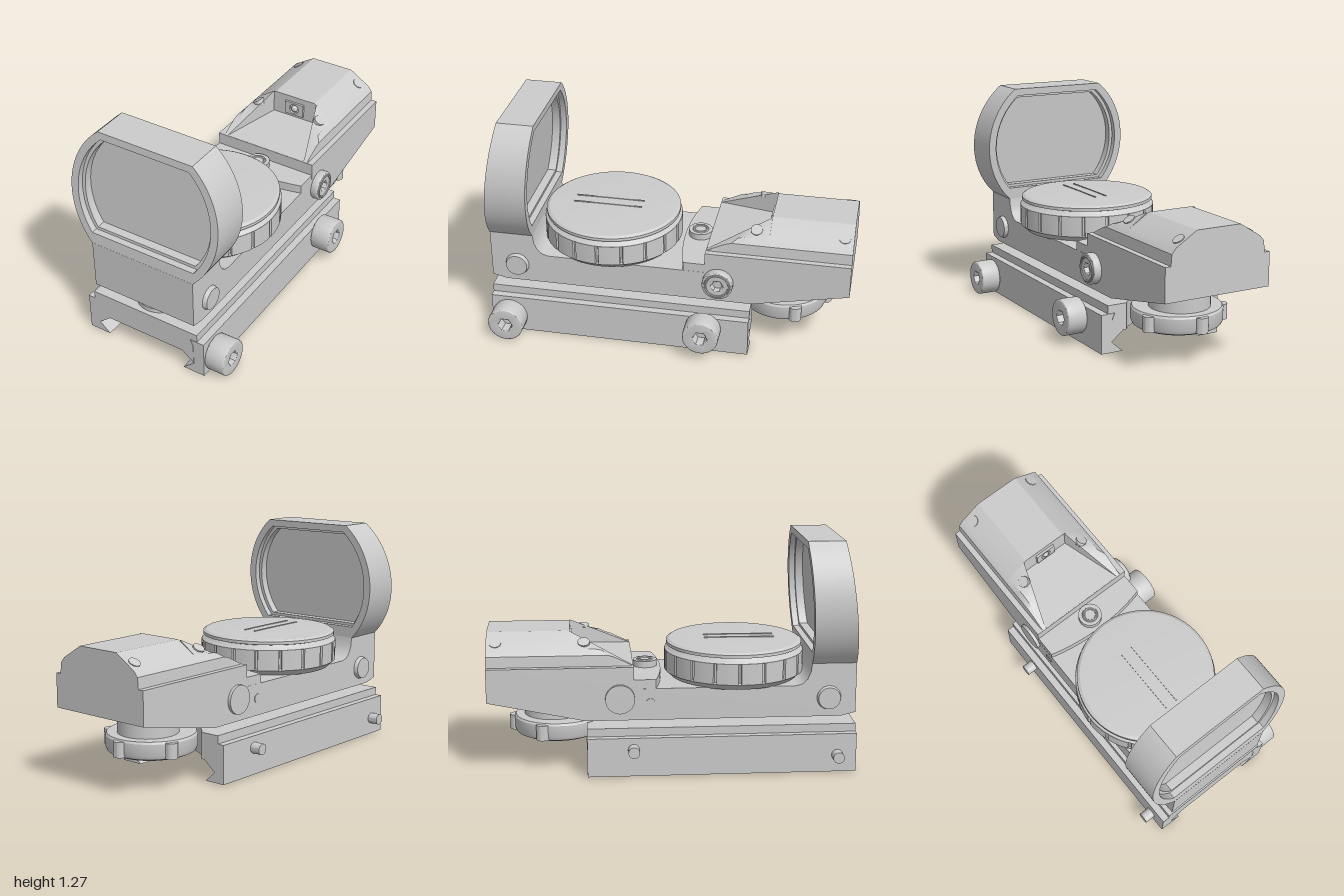
import * as THREE from 'three';
import { toCreasedNormals } from 'three/addons/utils/BufferGeometryUtils.js';

const material = new THREE.MeshStandardMaterial({ color: 0xcccccc });
const lerp = THREE.MathUtils.lerp;
const shapeOf = (pts) => new THREE.Shape(pts.map(([x, y]) => new THREE.Vector2(x, y)));
const extrude = (shape, depth, extra = {}) =>
  new THREE.ExtrudeGeometry(shape, { depth, bevelEnabled: false, curveSegments: 24, ...extra });

export function createModel() {
  const model = new THREE.Group();
  const sight = new THREE.Group();
  sight.name = 'reflexSight';
  sight.position.x = -0.018;
  model.add(sight);

  const add = (name, geo, x = 0, y = 0, z = 0) => {
    const mesh = new THREE.Mesh(toCreasedNormals(geo, 0.5), material);
    mesh.name = name;
    mesh.position.set(x, y, z);
    sight.add(mesh);
    return mesh;
  };
  // Side outline given as [z, y], swept across x
  const sideProfile = (pts, half) =>
    extrude(shapeOf(pts.map(([z, y]) => [-z, y])), half * 2).rotateY(Math.PI / 2).translate(-half, 0, 0);
  // Upright disc between two heights
  const disc = (name, r, y0, y1, z, x = 0) =>
    add(name, new THREE.CylinderGeometry(r, r, y1 - y0, 48), x, (y0 + y1) / 2, z);
  // Rod along x, with its own radius at each end
  const rod = (name, r0, x0, x1, y, z, r1 = r0) =>
    add(name, new THREE.CylinderGeometry(r0, r1, x1 - x0, 40).rotateZ(Math.PI / 2), (x0 + x1) / 2, y, z);
  const lathe = (name, pts, z) =>
    add(name, new THREE.LatheGeometry(pts.map(([x, y]) => new THREE.Vector2(x, y)), 96), 0, 0, z);
  // Hex socket bolt head pointing to +x
  const socketBolt = (name, r, hex, x0, x1, y, z) => {
    const b = 0.01;
    const head = new THREE.Shape().absarc(0, 0, r - b, 0, Math.PI * 2);
    const hole = [];
    for (let i = 0; i < 6; i++) hole.push(new THREE.Vector2(hex, 0).rotateAround(new THREE.Vector2(), i * Math.PI / 3));
    head.holes.push(new THREE.Path(hole));
    const geo = extrude(head, x1 - x0 - 2 * b,
      { bevelEnabled: true, bevelSize: b, bevelThickness: b, bevelSegments: 3 });
    add(name, geo.rotateY(Math.PI / 2), x0 + b, y, z);
    rod(name + 'Floor', hex * 1.1, x0, lerp(x0, x1, 0.45), y, z);
  };

  // Body with the window stem at its front
  add('body', sideProfile([
    [1, 0.325], [0.92, 0.305], [-0.47, 0.305], [-1, 0.415], [-1, 0.6], [-0.21, 0.6], [-0.21, 0.48],
    [0.67, 0.48], [0.705, 0.49], [0.732, 0.515], [0.75, 0.555], [0.756, 0.605], [1, 0.605],
  ], 0.312));

  // Step behind the knob with a bowed front edge
  const step = new THREE.Shape();
  step.moveTo(-0.311, 0.22);
  step.lineTo(-0.311, 0.09);
  step.quadraticCurveTo(0, 0.01, 0.311, 0.09);
  step.lineTo(0.311, 0.22);
  add('bodyStep', extrude(step, 0.06).rotateX(-Math.PI / 2), 0, 0.47, 0);
  disc('topScrew', 0.066, 0.52, 0.565, -0.135);
  add('topScrewRing', new THREE.TorusGeometry(0.038, 0.008, 8, 32).rotateX(Math.PI / 2), 0, 0.565, -0.135);

  // Window hood: circles cut flat at top and bottom, counter-clockwise
  const outline = ([r, bottom, top]) => {
    const a0 = Math.asin((bottom - 0.92) / r), a1 = Math.asin((top - 0.92) / r);
    const pts = [];
    for (let i = 0; i <= 28; i++) {
      const a = lerp(a0, a1, i / 28);
      pts.push(new THREE.Vector2(r * Math.cos(a), 0.92 + r * Math.sin(a)));
    }
    return [...pts, ...pts.slice().reverse().map((p) => new THREE.Vector2(-p.x, p.y))];
  };
  const outer = [0.445, 0.603, 1.265];
  const opening = [0.402, 0.668, 1.225];
  const innerOpening = [0.383, 0.684, 1.21];
  // Depth runs between the leaning back and front faces
  const frame = (name, out, hole, t0, t1) => {
    const shape = new THREE.Shape(outline(out));
    if (hole) shape.holes.push(new THREE.Path(outline(hole)));
    const geo = extrude(shape, 1);
    const p = geo.attributes.position;
    for (let i = 0; i < p.count; i++) {
      const k = (p.getY(i) - 0.6) / 0.665;
      p.setZ(i, lerp(lerp(0.756, 0.72, k), lerp(1, 0.925, k), lerp(t0, t1, p.getZ(i))));
    }
    add(name, geo);
  };
  frame('windowHood', outer, opening, 0, 1);
  frame('windowLip', opening, innerOpening, 0.15, 0.85);
  frame('lens', innerOpening, null, 0.35, 0.65);

  // Rear emitter housing
  const half = [[0.28, 0.595], [0.275, 0.66], [0.25, 0.69], [0.13, 0.765]];
  const section = [...half, ...half.slice().reverse().map(([x, y]) => [-x, y])];
  add('rearHousing', extrude(shapeOf(section), 0.45), 0, 0, -1);
  add('pocketFloor', sideProfile([[-0.212, 0.59], [-0.212, 0.601], [-0.56, 0.632], [-0.56, 0.59]], 0.25));
  // Sloping cheeks either side of the open pocket
  for (const s of [1, -1]) {
    const geo = extrude(shapeOf([[0.12, 0.595], ...half, [0.12, 0.765]].map(([x, y]) => [s * x, y])), 1, { steps: 10 });
    const p = geo.attributes.position;
    for (let i = 0; i < p.count; i++) {
      const t = p.getZ(i);
      p.setXYZ(i, s * Math.max(Math.abs(p.getX(i)), lerp(0.142, 0.255, t)),
        Math.min(p.getY(i), lerp(0.765, 0.6, t)), lerp(-0.55, -0.212, t));
    }
    add('housingCheek', geo);
    for (const z of [-0.475, -0.95]) {
      const plug = add('housingScrew', new THREE.CylinderGeometry(0.032, 0.032, 0.03, 28), s * 0.2, 0.709, z);
      plug.rotation.z = -s * 0.56;
    }
  }
  // Emitter on the pocket's back wall
  const bezel = shapeOf([[-0.06, -0.04], [0.06, -0.04], [0.06, 0.04], [-0.06, 0.04]]);
  bezel.holes.push(new THREE.Path().absarc(0, 0, 0.03, 0, Math.PI * 2));
  add('emitterBezel', extrude(bezel, 0.015), 0, 0.69, -0.552);
  add('emitter', new THREE.SphereGeometry(0.02, 20, 12), 0, 0.69, -0.548);

  // Large round knob: raised grips, narrow notches and a shallow domed cap
  const grips = [];
  for (let i = 0; i < 18; i++) {
    for (const [f, r] of [[0, 0.388], [0.3, 0.388], [0.6, 0.388], [0.86, 0.388], [0.89, 0.379], [0.97, 0.379]]) {
      const a = (i + f) / 18 * Math.PI * 2;
      grips.push([r * Math.cos(a), r * Math.sin(a)]);
    }
  }
  add('knobGrip', extrude(shapeOf(grips), 0.115).rotateX(-Math.PI / 2), 0, 0.51, 0.363);
  lathe('knob', [
    [0, 0.475], [0.35, 0.475], [0.386, 0.51], [0.378, 0.52], [0.378, 0.62], [0.386, 0.625], [0.366, 0.64],
    [0.36, 0.65], [0.378, 0.655], [0.378, 0.672], [0.362, 0.682], [0.34, 0.683], [0.2, 0.688], [0, 0.69],
  ], 0.363);
  for (const x of [-0.034, 0.036]) {
    add('knobRidge', new THREE.BoxGeometry(0.007, 0.012, 0.39), x, 0.687, 0.39);
  }

  // Battery dial below the rear, with finger tabs
  disc('dialNeck', 0.165, 0.26, 0.42, -0.645);
  lathe('dial', [
    [0, 0.168], [0.18, 0.168], [0.18, 0.163], [0.21, 0.163], [0.236, 0.175], [0.245, 0.195],
    [0.245, 0.258], [0.238, 0.27], [0, 0.274],
  ], -0.62);
  for (const a of [0, 1.2, -1.2]) {
    disc('dialTab', 0.035, 0.178, 0.262, -0.62 - 0.237 * Math.cos(a), 0.237 * Math.sin(a));
  }

  // Body side hardware
  rod('frontPin', 0.07, 0.3, 0.335, 0.41, 0.852, 0.06);
  rod('frontPin', 0.06, -0.335, -0.3, 0.41, 0.852, 0.07);
  socketBolt('sideBolt', 0.085, 0.042, 0.305, 0.355, 0.425, -0.285);
  add('sideBoltRing', new THREE.TorusGeometry(0.066, 0.007, 8, 40).rotateY(Math.PI / 2), 0.355, 0.425, -0.285);
  rod('sideCap', 0.08, -0.33, -0.3, 0.425, -0.285);
  rod('sidePlug', 0.025, -0.316, -0.3, 0.4, -0.12);

  // Rail mount: deck notched round the dial, side rails and clamp bar
  const rear = -0.465;
  const notch = Math.asin((0.62 + rear) / 0.265);
  const deck = new THREE.Shape();
  deck.moveTo(-0.236, -1);
  deck.lineTo(0.236, -1);
  deck.lineTo(0.236, -rear);
  deck.absarc(0, 0.62, 0.265, -notch, notch - Math.PI, true);
  deck.lineTo(-0.236, -rear);
  add('mountDeck', extrude(deck, 0.147).rotateX(-Math.PI / 2), 0, 0.118, 0);
  const rails = {
    leftRail: [[0.235, 0.118], [0.303, 0.062], [0.303, 0.18], [0.285, 0.22], [0.328, 0.22], [0.328, 0.265], [0.235, 0.265]],
    rightRail: [[-0.368, 0.22], [-0.368, 0.005], [-0.243, 0.005], [-0.305, 0.06], [-0.235, 0.118],
      [-0.235, 0.265], [-0.328, 0.265], [-0.328, 0.22]],
    clampBar: [[0.288, 0.218], [0.368, 0.218], [0.368, 0.002], [0.238, 0.002], [0.305, 0.06], [0.305, 0.18]],
  };
  for (const [name, pts] of Object.entries(rails)) add(name, extrude(shapeOf(pts), 1 - rear), 0, 0, rear);
  for (const [y, z] of [[0.1, 0.895], [0.155, -0.215]]) {
    socketBolt('clampNut', 0.1, 0.05, 0.366, 0.482, y, z);
    rod('clampBolt', 0.031, -0.427, 0.37, y, z);
  }

  // Spacers between mount and body, and plates under the mount
  disc('frontSpacer', 0.13, 0.26, 0.29, 0.845);
  disc('frontSpacerNeck', 0.1, 0.26, 0.31, 0.845);
  disc('middleSpacer', 0.076, 0.26, 0.31, 0.025);
  disc('rearSpacer', 0.085, 0.26, 0.31, -0.185);
  disc('underPlate', 0.17, 0.108, 0.13, 0.5);
  disc('underScrew', 0.05, 0.105, 0.13, -0.05);
  return model;
}
